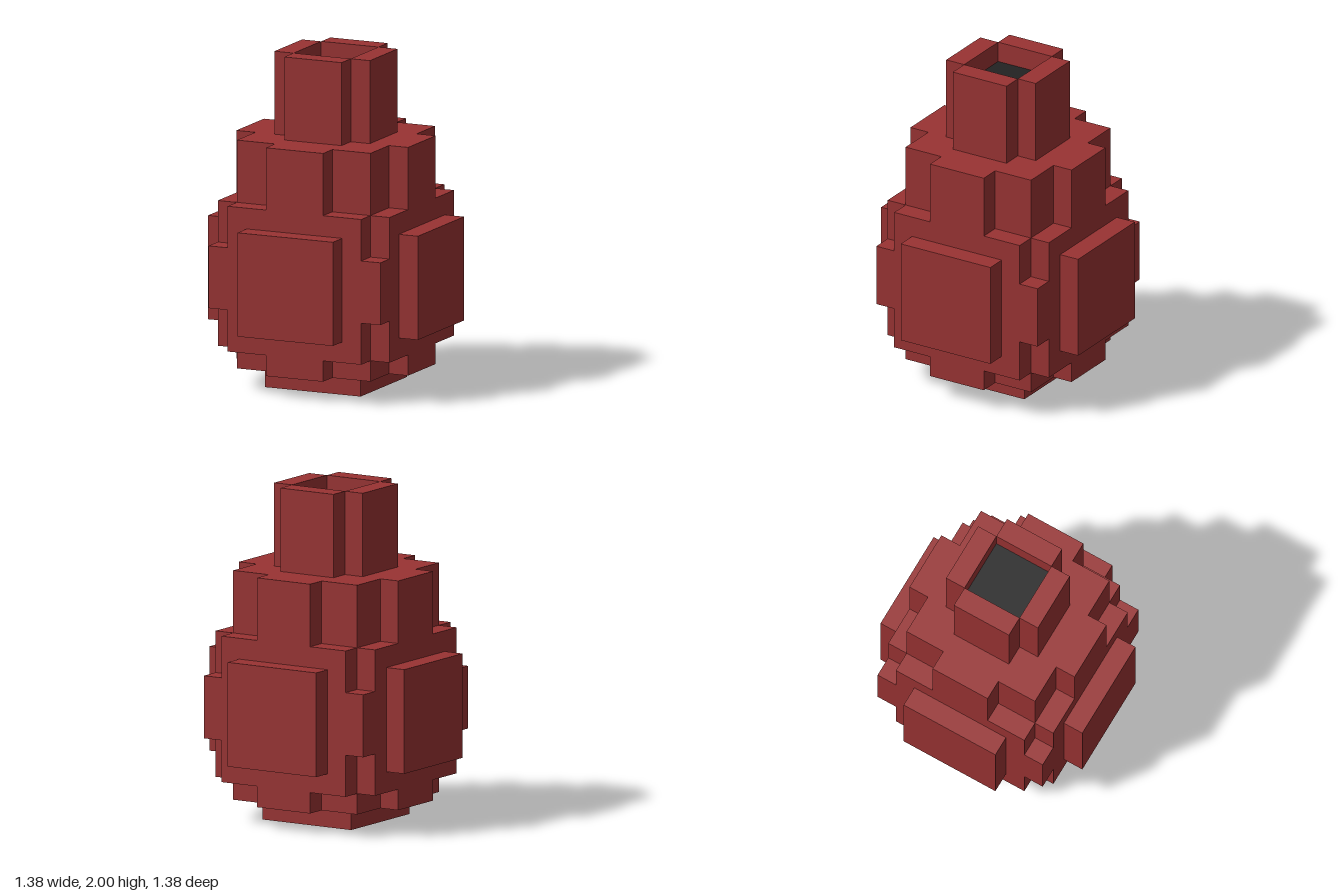
import * as THREE from 'three';

const U = 0.125; // one block

export function createModel() {
  const group = new THREE.Group();
  const red = new THREE.MeshStandardMaterial({ color: 0x993333 });
  red.name = 'brick red';
  const dark = new THREE.MeshStandardMaterial({ color: 0x222222, side: THREE.DoubleSide });
  dark.name = 'dark inside';

  // Box measured in blocks, standing on level y0
  function block(name, w, y0, y1, d, x = 0, z = 0) {
    const mesh = new THREE.Mesh(new THREE.BoxGeometry(w * U, (y1 - y0) * U, d * U), red);
    mesh.position.set(x * U, (y0 + y1) / 2 * U, z * U);
    mesh.name = name;
    group.add(mesh);
  }

  // Square tier whose corners are cut back: outer half width a, inner half width b, arm half width c
  function tier(name, y0, y1, a, b, c) {
    const quarter = [[a, -c], [a, c], [b, c], [b, b], [c, b], [c, a]];
    const points = [];
    for (let i = 0; i < 4; i++) {
      for (const [px, py] of quarter) {
        let x = px, y = py;
        for (let k = 0; k < i; k++) [x, y] = [-y, x];
        const p = new THREE.Vector2(x * U, y * U);
        if (!points.some((q) => q.distanceTo(p) < 1e-6)) points.push(p);
      }
    }
    const geo = new THREE.ExtrudeGeometry(new THREE.Shape(points), { depth: (y1 - y0) * U, bevelEnabled: false });
    geo.rotateX(-Math.PI / 2);
    const mesh = new THREE.Mesh(geo, red);
    mesh.position.y = y0 * U;
    mesh.name = name;
    group.add(mesh);
  }

  // Foot and stacked body
  block('foot', 5, 0, 1, 5);
  tier('lowerBody', 1, 2, 4.5, 3.5, 1.5);
  tier('lowerBelly', 2, 4, 4.5, 3.5, 3.5);
  block('belly', 9, 4, 7, 9);
  tier('upperBelly', 7, 9, 4.5, 3.5, 3.5);
  tier('shoulder', 9, 12, 4.5, 3.5, 1.5);

  // Raised side panels and hollow neck walls
  for (const s of [1, -1]) {
    block('sidePanel', 1, 3, 8, 5, 5 * s, 0);
    block('facePanel', 5, 3, 8, 1, 0, 5 * s);
    block('neckSideWall', 1, 12, 16, 3, 2 * s, 0);
    block('neckFaceWall', 3, 12, 16, 1, 0, 2 * s);
  }

  // Dark fill inside the mouth
  const fill = new THREE.Mesh(new THREE.PlaneGeometry(3 * U, 3 * U).rotateX(-Math.PI / 2), dark);
  fill.position.y = 15 * U;
  fill.name = 'mouthFill';
  group.add(fill);

  return group;
}
